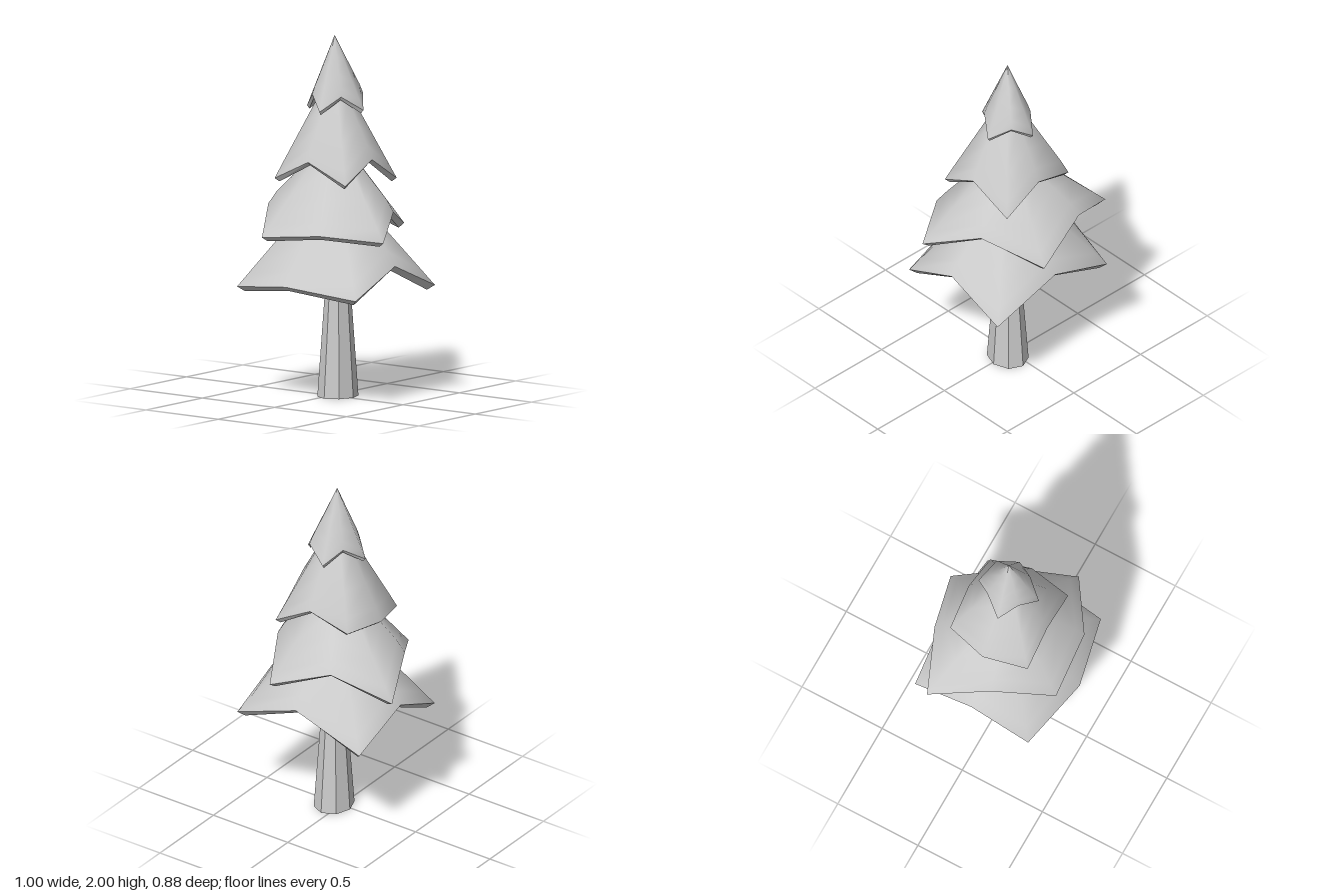
import * as THREE from 'three';

const AXIS_X = 0.027; // the crown sits slightly off centre

// Surface between successive rings of [x, y, z], each ring closed on itself.
// The last ring may collapse to a point.
function skin(rings, name) {
  const n = rings[0].length;
  const index = [];
  for (let r = 0; r < rings.length - 1; r++) {
    for (let i = 0; i < n; i++) {
      const j = (i + 1) % n;
      const a = r * n + i, b = r * n + j, c = a + n, d = b + n;
      index.push(a, b, d, a, d, c);
    }
  }
  const geometry = new THREE.BufferGeometry();
  geometry.setAttribute('position', new THREE.Float32BufferAttribute(rings.flat(2), 3));
  geometry.setIndex(index);
  geometry.computeVertexNormals();
  const mesh = new THREE.Mesh(geometry, new THREE.MeshStandardMaterial({ color: 0xcccccc, side: THREE.DoubleSide }));
  mesh.name = name;
  return mesh;
}

// Ring part-way from the rim (t = 0) to the apex (t = 1); high rim points bulge a little
function ringAt(rim, apexY, t, bulge = 0) {
  const low = Math.min(...rim.map((p) => p[1]));
  return rim.map(([x, y, z]) => [
    x + (AXIS_X - x) * t,
    y + (apexY - y) * t + bulge * Math.min(1, (y - low) / 0.12),
    z * (1 - t),
  ]);
}

// One hollow tier of foliage: smooth outside, sharp rim band, shallow hollow underside
function foliageTier(name, apexY, ceilingY, rim, thickness) {
  const tier = new THREE.Group();
  tier.name = name;
  const inner = rim.map(([x, y, z]) => [AXIS_X + (x - AXIS_X) * 0.92, y - thickness, z * 0.92]);
  const bulge = thickness * 0.75;
  tier.add(skin([
    rim,
    ringAt(rim, apexY, 0.12, bulge),
    ringAt(rim, apexY, 0.35, bulge * 0.6),
    ringAt(rim, apexY, 0.65, bulge * 0.2),
    ringAt(rim, apexY, 1),
  ], 'foliage'));

  const band = skin([inner, rim], 'rim');
  band.geometry = band.geometry.toNonIndexed();
  band.geometry.computeVertexNormals();
  tier.add(band);

  // Reversed order turns the underside inward
  const under = inner.slice().reverse();
  tier.add(skin([under, ringAt(under, ceilingY, 0.5), ringAt(under, ceilingY, 1)], 'underside'));
  return tier;
}

export function createModel() {
  const tree = new THREE.Group();
  tree.name = 'pineTree';

  // Tapered eight-sided trunk running up into the lowest tier
  const trunk = new THREE.Mesh(
    new THREE.CylinderGeometry(0.045, 0.122, 1, 8),
    new THREE.MeshStandardMaterial({ color: 0xcccccc, flatShading: true }),
  );
  trunk.name = 'trunk';
  trunk.scale.x = 0.87;
  trunk.position.set(0.038, 0.5, -0.014);
  tree.add(trunk);

  // Rims alternate low corners and raised mid-edges, running counter-clockwise from above
  tree.add(foliageTier('bottomTier', 1.24, 0.98, [
    [-0.38, 0.61, 0.345], [0.03, 0.66, 0.44], [0.44, 0.61, 0.345], [0.445, 0.76, 0],
    [0.44, 0.61, -0.36], [0.03, 0.77, -0.385], [-0.38, 0.61, -0.36], [-0.4, 0.77, 0],
  ], 0.026));

  tree.add(foliageTier('lowerMiddleTier', 1.47, 1.24, [
    [-0.165, 0.91, 0.4], [0.21, 0.95, 0.37], [0.5, 0.915, 0.175], [0.34, 1.035, -0.12],
    [0.165, 0.915, -0.44], [-0.18, 1.05, -0.35], [-0.5, 0.915, -0.22], [-0.355, 1.04, 0.1],
  ], 0.023));

  tree.add(foliageTier('upperMiddleTier', 1.83, 1.57, [
    [-0.2, 1.215, 0.242], [0.03, 1.325, 0.24], [0.28, 1.215, 0.23], [0.285, 1.335, 0],
    [0.263, 1.2, -0.247], [0.03, 1.335, -0.252], [-0.21, 1.265, -0.235], [-0.27, 1.255, 0],
  ], 0.019));

  tree.add(foliageTier('topTier', 2, 1.8, [
    [0.055, 1.596, 0.172], [0.13, 1.675, 0.075], [0.202, 1.596, -0.03], [0.12, 1.675, -0.13],
    [0, 1.596, -0.175], [-0.07, 1.675, -0.08], [-0.145, 1.596, 0.025], [-0.05, 1.675, 0.1],
  ], 0.018));

  return tree;
}
